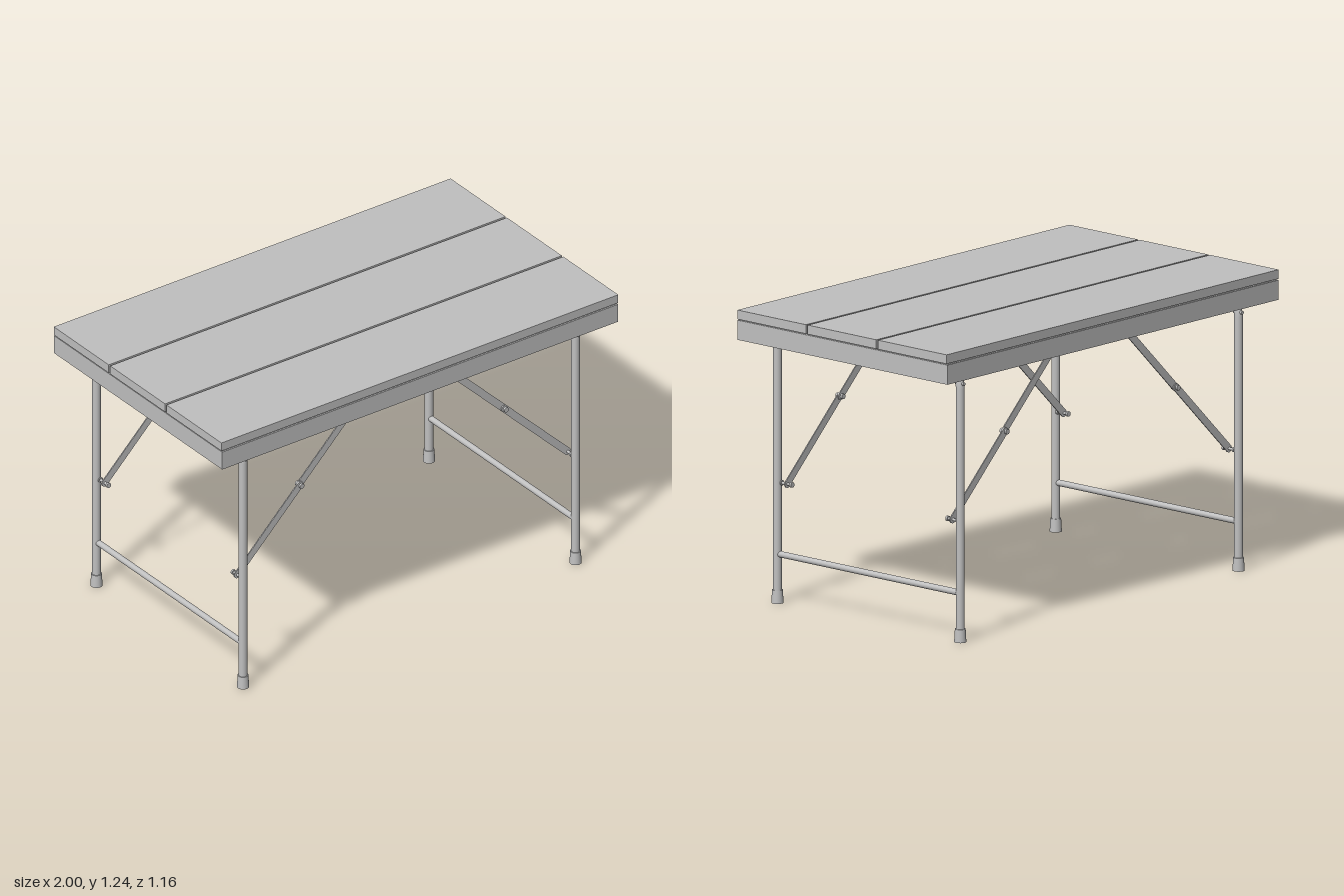
import * as THREE from 'three';

const metal = new THREE.MeshStandardMaterial({ color: 0xc0c0c0 });
metal.name = 'grey metal';

function add(parent, name, geometry, x = 0, y = 0, z = 0) {
  const mesh = new THREE.Mesh(geometry, metal);
  mesh.name = name;
  mesh.position.set(x, y, z);
  parent.add(mesh);
  return mesh;
}

const box = (parent, name, w, h, d, x, y, z) =>
  add(parent, name, new THREE.BoxGeometry(w, h, d), x, y, z);

// Rod running along z between two depths
function rodZ(parent, name, r, z0, z1, x, y) {
  const rod = add(parent, name, new THREE.CylinderGeometry(r, r, Math.abs(z1 - z0), 20), x, y, (z0 + z1) / 2);
  rod.rotation.x = Math.PI / 2;
  return rod;
}

// Flat bar with round ends between two points in the xy plane
function flatLink(parent, name, a, b, z) {
  const r = 0.016, t = 0.005;
  const len = Math.hypot(b[0] - a[0], b[1] - a[1]);
  const shape = new THREE.Shape();
  shape.absarc(len, 0, r, -Math.PI / 2, Math.PI / 2, false);
  shape.absarc(0, 0, r, Math.PI / 2, Math.PI * 1.5, false);
  shape.closePath();
  const geo = new THREE.ExtrudeGeometry(shape, { depth: t, bevelEnabled: false, curveSegments: 10 });
  geo.translate(0, 0, -t / 2);
  add(parent, name, geo, a[0], a[1], z).rotation.z = Math.atan2(b[1] - a[1], b[0] - a[0]);
}

// Bolt with a head at each end
function bolt(parent, name, x, y, z0, z1) {
  const g = new THREE.Group();
  g.name = name;
  rodZ(g, 'boltShank', 0.006, z0, z1, x, y);
  rodZ(g, 'boltHead', 0.011, z0, z0 + 0.009, x, y);
  rodZ(g, 'boltNut', 0.011, z1 - 0.009, z1, x, y);
  parent.add(g);
}

// Bent tube: up one leg, across under the top, down the other
function legFrame(x) {
  const g = new THREE.Group();
  g.name = 'legFrame';
  const z = 0.503, top = 1.15, r = 0.09, k = r * 0.4477;
  const v = (y, zz) => new THREE.Vector3(x, y, zz);
  const path = new THREE.CurvePath();
  path.add(new THREE.LineCurve3(v(0.03, z), v(top - r, z)));
  path.add(new THREE.CubicBezierCurve3(v(top - r, z), v(top - k, z), v(top, z - k), v(top, z - r)));
  path.add(new THREE.LineCurve3(v(top, z - r), v(top, r - z)));
  path.add(new THREE.CubicBezierCurve3(v(top, r - z), v(top, k - z), v(top - k, -z), v(top - r, -z)));
  path.add(new THREE.LineCurve3(v(top - r, -z), v(0.03, -z)));
  add(g, 'bentLegTube', new THREE.TubeGeometry(path, 200, 0.018, 20));
  rodZ(g, 'legStretcher', 0.013, -0.49, 0.49, x, 0.205);
  for (const s of [1, -1]) {
    add(g, 'footCap', new THREE.CylinderGeometry(0.022, 0.025, 0.055, 24), x, 0.0275, s * z);
  }
  return g;
}

export function createModel() {
  const table = new THREE.Group();
  table.name = 'foldingTable';

  // Three top planks
  for (const z of [-0.387, 0, 0.387]) box(table, 'topPlank', 2, 0.038, 0.377, 0, 1.221, z);

  // Angle-section rim with an inward flange
  const rim = new THREE.Group();
  rim.name = 'rim';
  table.add(rim);
  for (const s of [1, -1]) {
    box(rim, 'longRail', 1.996, 0.082, 0.008, 0, 1.156, s * 0.574);
    box(rim, 'longRailFlange', 1.98, 0.008, 0.045, 0, 1.194, s * 0.55);
    box(rim, 'endRail', 0.008, 0.082, 1.14, s * 0.994, 1.156, 0);
    box(rim, 'endRailFlange', 0.045, 0.008, 1.14, s * 0.972, 1.194, 0);
    box(rim, 'railSpacer', 1.97, 0.004, 0.03, 0, 1.2, s * 0.55);
  }

  for (const sx of [1, -1]) {
    table.add(legFrame(sx * 0.838));

    // Channel-shaped cross member, open below
    const channel = new THREE.Group();
    channel.name = 'crossMember';
    table.add(channel);
    box(channel, 'channelWeb', 0.046, 0.006, 1.1, sx * 0.2, 1.195, 0);
    for (const s of [1, -1]) box(channel, 'channelSide', 0.006, 0.055, 1.1, sx * 0.2 + s * 0.02, 1.167, 0);

    for (const sz of [1, -1]) {
      // Folding brace in two links with pivot bolts
      const brace = new THREE.Group();
      brace.name = 'foldingBrace';
      table.add(brace);
      const low = [sx * 0.832, 0.503], mid = [sx * 0.515, 0.815], high = [sx * 0.19, 1.135];
      flatLink(brace, 'lowerBraceLink', low, mid, sz * 0.4545);
      flatLink(brace, 'upperBraceLink', mid, high, sz * 0.4495);
      bolt(brace, 'legBolt', ...low, ...(sz > 0 ? [0.425, 0.49] : [-0.49, -0.425]));
      bolt(brace, 'pivotBolt', ...mid, ...(sz > 0 ? [0.434, 0.47] : [-0.47, -0.434]));
      bolt(brace, 'topBolt', ...high, ...(sz > 0 ? [0.434, 0.47] : [-0.47, -0.434]));

      // Corner bracket that holds the leg tube to the rim
      const bracket = new THREE.Group();
      bracket.name = 'legBracket';
      table.add(bracket);
      box(bracket, 'bracketPlate', 0.08, 0.055, 0.006, sx * 0.89, 1.163, sz * 0.5);
      box(bracket, 'bracketCheek', 0.006, 0.055, 0.07, sx * 0.862, 1.163, sz * 0.535);
      box(bracket, 'bracketCheek', 0.006, 0.055, 0.07, sx * 0.93, 1.163, sz * 0.535);
      rodZ(bracket, 'bracketBolt', 0.012, sz * 0.485, sz * 0.5, sx * 0.895, 1.16);
      rodZ(bracket, 'legRivet', 0.008, sz * 0.48, sz * 0.525, sx * 0.838, 1.08);
    }
  }
  return table;
}
